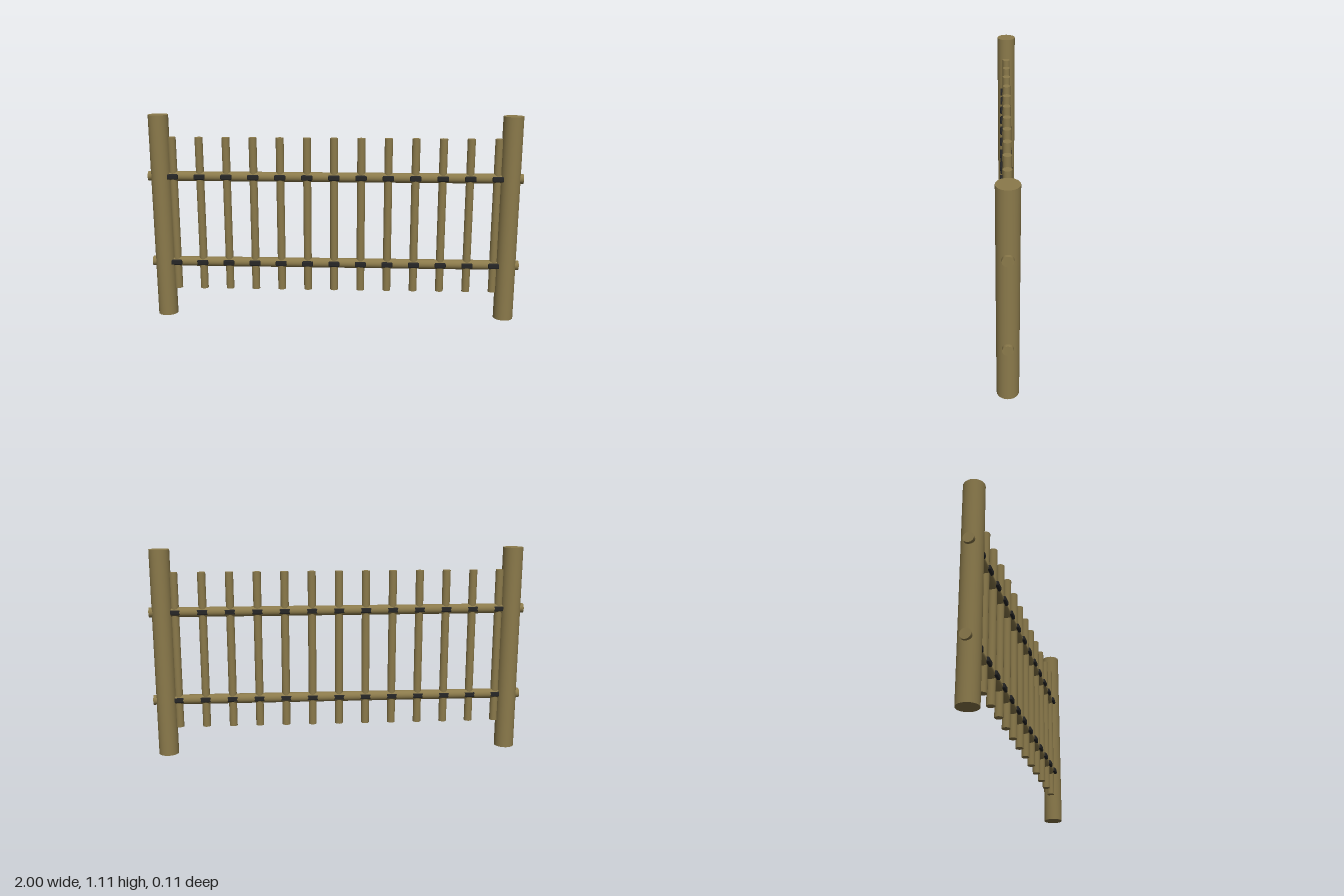
import * as THREE from 'three';
import { RoundedBoxGeometry } from 'three/addons/geometries/RoundedBoxGeometry.js';

export function createModel() {
  const group = new THREE.Group();
  const wood = new THREE.MeshStandardMaterial({ color: 0x8b7a4b });
  wood.name = 'wood';
  const cord = new THREE.MeshStandardMaterial({ color: 0x262626 });
  cord.name = 'darkCord';

  function add(name, geometry, material, x, y, z = 0) {
    const mesh = new THREE.Mesh(geometry, material);
    mesh.name = name;
    mesh.position.set(x, y, z);
    group.add(mesh);
    return mesh;
  }

  const railHeights = [0.302, 0.78];

  // Thick round end posts
  const postGeo = new THREE.CylinderGeometry(0.053, 0.053, 1.11, 24);
  for (const side of [-1, 1]) {
    add(side > 0 ? 'leftPost' : 'rightPost', postGeo, wood, side * 0.933, 0.555);
  }

  // Horizontal rails passing through the posts
  const railGeo = new THREE.CylinderGeometry(0.0265, 0.0265, 2, 20);
  railGeo.rotateZ(Math.PI / 2);
  railHeights.forEach((y, i) => add(i ? 'upperRail' : 'lowerRail', railGeo, wood, 0, y));

  // Upright poles, each lashed to both rails
  const poleGeo = new THREE.CylinderGeometry(0.0215, 0.0215, 0.84, 16);
  const lashingGeo = new RoundedBoxGeometry(0.06, 0.028, 0.063, 1, 0.006);
  const count = 13;
  for (let i = 0; i < count; i++) {
    const x = -0.866 + (i * 1.732) / (count - 1);
    add('pole', poleGeo, wood, x, 0.57);
    for (const y of railHeights) add('lashing', lashingGeo, cord, x, y, 0.005);
  }
  return group;
}
